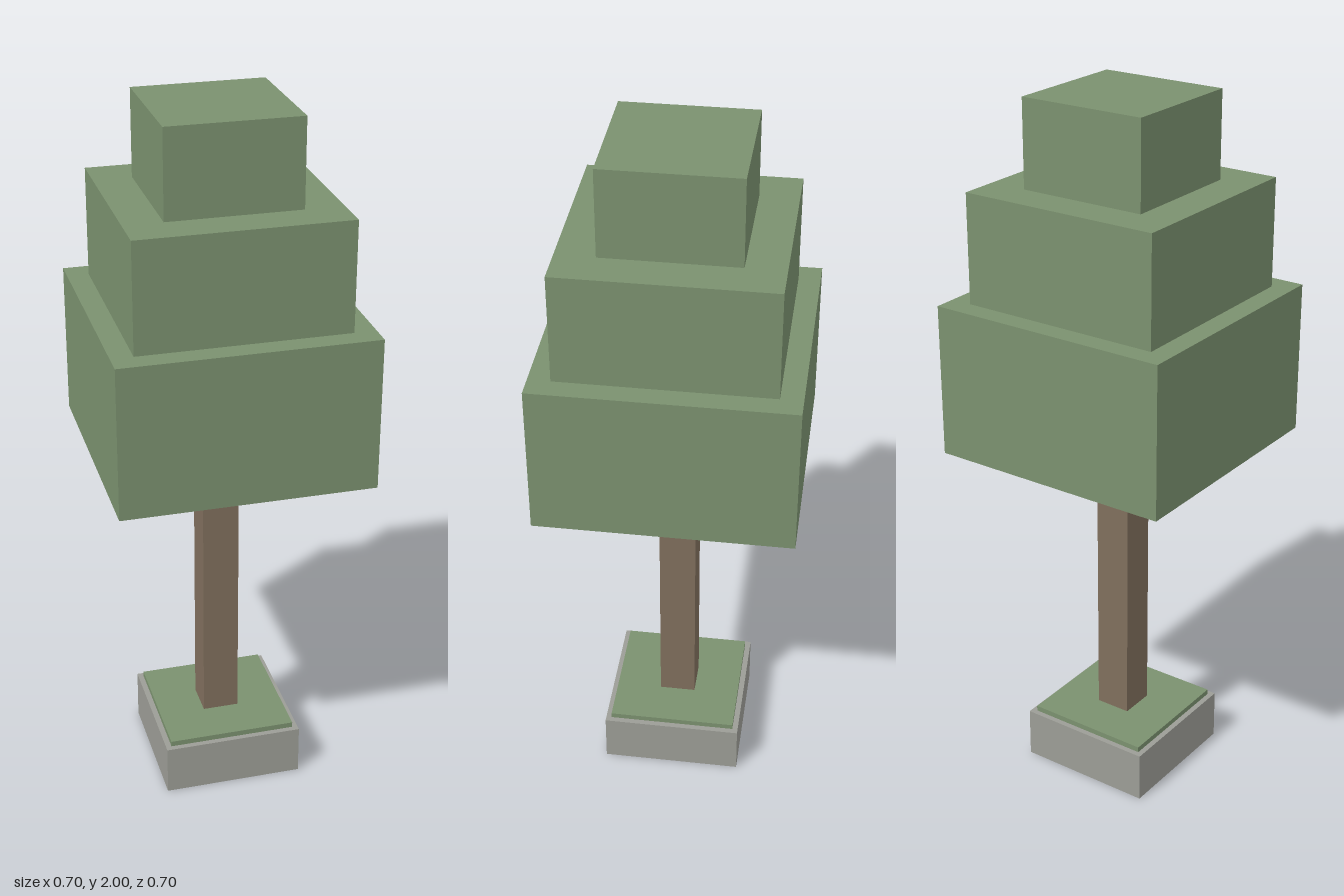
import * as THREE from 'three';

const material = (name, color) => {
  const m = new THREE.MeshStandardMaterial({ color });
  m.name = name;
  return m;
};

export function createModel() {
  const tree = new THREE.Group();
  tree.name = 'planterTree';

  const stone = material('stone grey', 0x9c9d96);
  const bark = material('bark brown', 0x806f5d);
  const leaf = material('leaf green', 0x7b916f);

  // Square block centred on the vertical axis, from height y0 to y1
  const block = (name, width, y0, y1, mat) => {
    const mesh = new THREE.Mesh(new THREE.BoxGeometry(width, y1 - y0, width), mat);
    mesh.name = name;
    mesh.position.y = (y0 + y1) / 2;
    tree.add(mesh);
  };

  // Planter with a thin bed of grass
  block('planter', 0.4, 0, 0.147, stone);
  block('grassBed', 0.368, 0.147, 0.163, leaf);

  block('trunk', 0.104, 0.163, 1.02, bark);

  // Stacked foliage, narrowing upwards
  block('lowerFoliage', 0.704, 1.02, 1.45, leaf);
  block('middleFoliage', 0.582, 1.45, 1.757, leaf);
  block('upperFoliage', 0.368, 1.757, 2, leaf);

  return tree;
}
